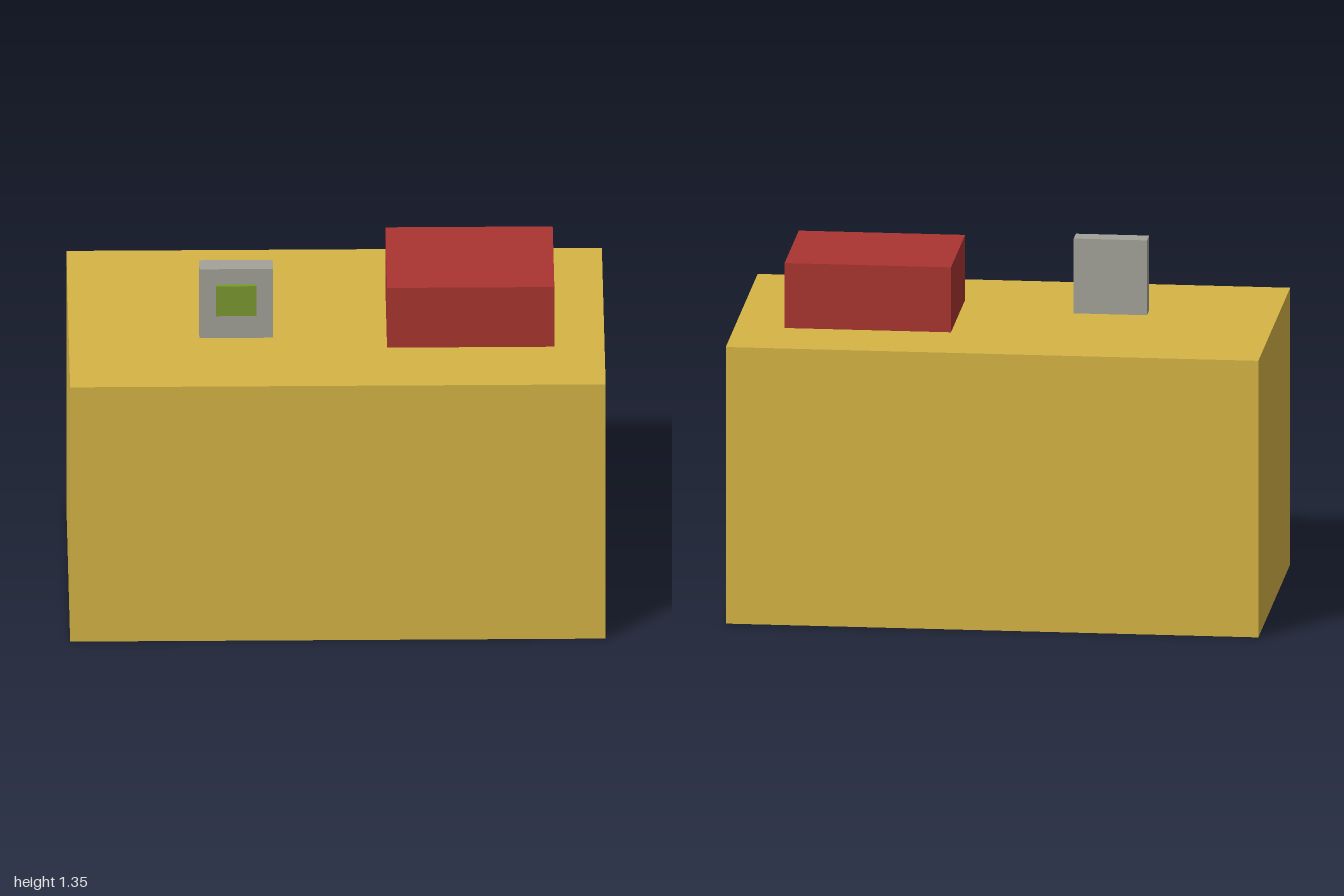
import * as THREE from 'three';

// Axis-aligned box given by its [min, max] range on each axis
function block(name, color, [x0, x1], [y0, y1], [z0, z1]) {
  const mesh = new THREE.Mesh(
    new THREE.BoxGeometry(x1 - x0, y1 - y0, z1 - z0),
    new THREE.MeshStandardMaterial({ color })
  );
  mesh.name = name;
  mesh.position.set((x0 + x1) / 2, (y0 + y1) / 2, (z0 + z1) / 2);
  return mesh;
}

export function createModel() {
  const model = new THREE.Group();
  model.name = 'counter';
  const top = 1.065;

  // Large counter body
  model.add(block('counterBody', 0xd6b545, [-1, 1], [0, top], [-0.5625, 0.5625]));

  // Red box resting on the counter
  model.add(block('redBox', 0xaa3530, [0.1875, 0.8125], [top, 1.315], [-0.25, 0.25]));

  // Upright display with a raised green screen on its front
  const display = new THREE.Group();
  display.name = 'display';
  display.add(
    block('displayPanel', 0xa3a29a, [-0.5125, -0.2375], [top, 1.353], [0.0875, 0.1625]),
    block('displayScreen', 0x7b9a30, [-0.45, -0.3], [1.165, 1.29], [0.1625, 0.18])
  );
  model.add(display);

  return model;
}
